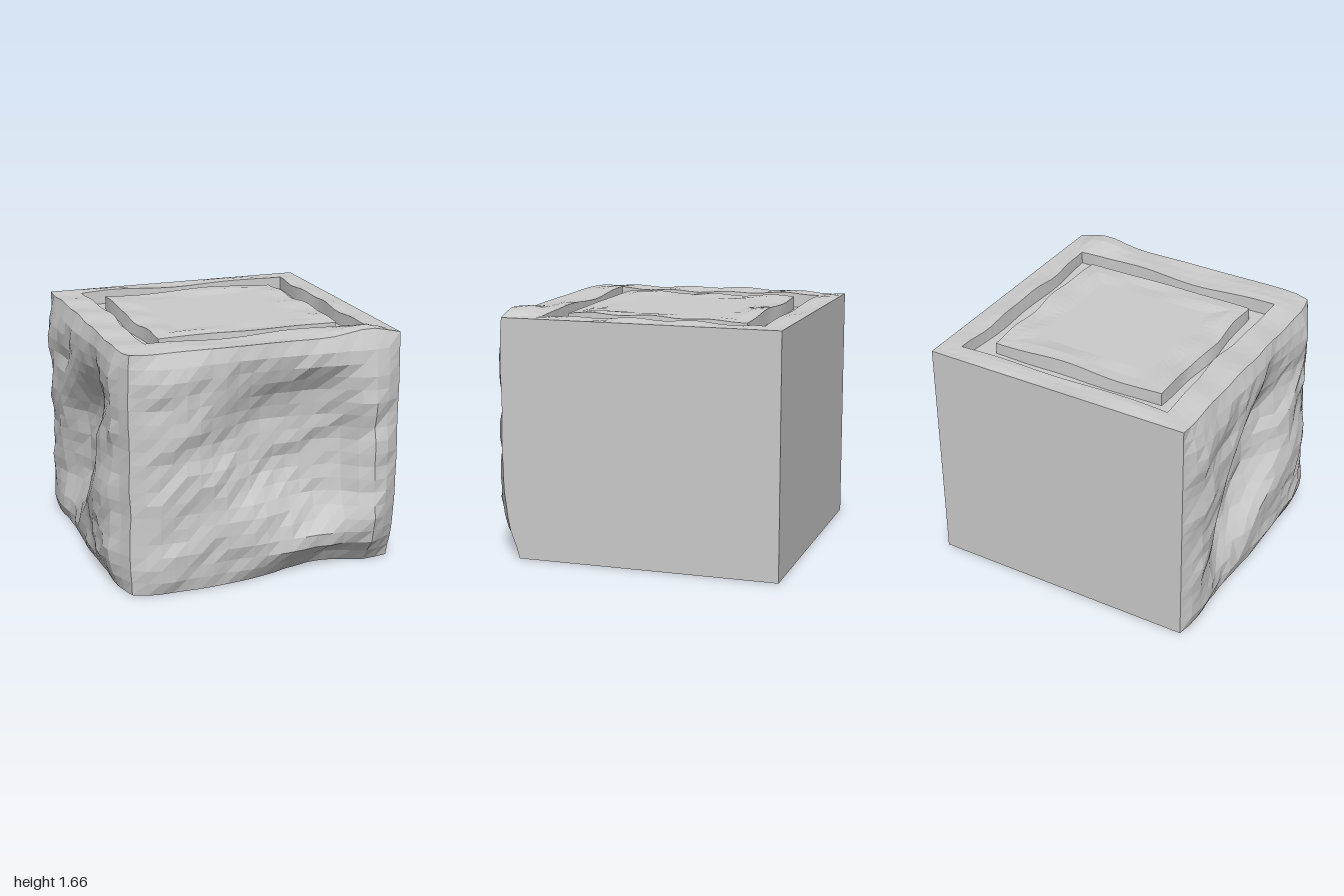
import * as THREE from 'three';

const SEG = 20;                                   // steps along each side of a loop
const L = -0.88, R = 0.99, B = -0.99, F = 0.88;   // base block before roughening
const H = 1.615, FLOOR = 1.53;                    // top and groove floor heights

// Smooth ramp from 0 at a to 1 at b, rising or falling
const step = (a, b, v) => {
  const t = Math.min(1, Math.max(0, (v - a) / (b - a)));
  return t * t * (3 - 2 * t);
};
const bell = (a, b) => Math.exp(-a * a - b * b);
const bowl = (a, b) => Math.exp(-((a * a + b * b) ** 2)); // hollow with steep walls

// Rolling waves and repeatable jitter, both about -1..1
const roll = (a, b) => 0.5 * Math.sin(7 * a + 4 * b) + 0.5 * Math.sin(15 * b - 6 * a + 1);
const hash = (a, b) => {
  const s = Math.sin(Math.round(a * 50) * 12.99 + Math.round(b * 50) * 78.23) * 43758.55;
  return (s - Math.floor(s)) * 2 - 1;
};
const rough = (a, b) => 0.018 * roll(a, b) + 0.011 * hash(a, b);

// Chipping eases off towards the bottom and top edges
const edgeFade = (y) => Math.sqrt(step(-0.05, 0.16, y) * step(H + 0.01, H - 0.2, y));

// How far the front face swells (+) or is hollowed (-)
function frontOffset(x, y) {
  const side = step(-0.98, -0.6, x) * (0.25 + 0.75 * step(1.0, 0.86, x));
  const swell = side * (0.055 + 0.035 * bell((x - 0.78) / 0.14, 0) + rough(x, y));
  const across = (x - 0.4) / (x < 0.4 ? 0.7 : 0.33);
  const hollow = 0.17 * bowl(across, (y - 0.88 + 0.2 * (x - 0.4)) / 0.52);
  const undercut = 0.17 * bell((x - 0.5) / 0.45, 0) * step(0.24, 0.02, y)
    + 0.05 * step(0.8, R, x) * step(0.7, 0, y);
  const corner = 0.04 * step(-0.75, L, x);
  return edgeFade(y) * (swell - hollow) - undercut - corner;
}

// The same for the rough -x face
function sideOffset(z, y) {
  const ends = step(-1.0, -0.82, z) * (0.25 + 0.75 * step(0.9, 0.65, z));
  const swell = ends * (0.06 + 0.045 * bell((z - 0.4) / 0.3, (y - 0.45) / 0.4) + rough(z + 3, y));
  const hollow = 0.17 * bowl((z + 0.1 - 0.5 * (y - 0.8)) / 0.36, (y - 0.78) / 0.58);
  const corner = 0.03 * step(0.72, F, z);
  return edgeFade(y) * (swell - hollow) - corner;
}

// Unevenness of the top, fading to the flat back and right faces
function topOffset(x, z) {
  const fade = step(R, 0.85, x) * step(B, -0.9, z);
  return fade * (0.005 + 0.013 * roll(x + 1, z + 2) + 0.045 * bell((x - 0.75) / 0.18, (z - 0.82) / 0.15));
}

// Rectangular loop, counterclockwise from above, starting at the front left corner
function loop(l, r, b, f, y, move) {
  const corners = [[l, f], [r, f], [r, b], [l, b]];
  const pts = [];
  for (let s = 0; s < 4; s++) {
    const [x0, z0] = corners[s], [x1, z1] = corners[(s + 1) % 4];
    for (let i = 0; i < SEG; i++) {
      const t = i / SEG;
      pts.push(move(x0 + (x1 - x0) * t, y, z0 + (z1 - z0) * t, s, t));
    }
  }
  return pts;
}

const wall = (x, y, z) => [
  x - sideOffset(z, y) * step(-0.4, L, x),
  y >= H ? y + topOffset(x, z) : y,
  z + frontOffset(x, y) * step(0.4, F, z),
];
const top = (x, y, z) => [x, y + topOffset(x, z), z];

// Groove edges wander sideways between their corners
const groove = (bow, phase, uneven) => (x, y, z, s, t) => {
  const k = Math.sin(Math.PI * t);
  const d = k * (bow + 0.012 * Math.sin(11 * t + s * 2 + phase));
  const bend = [0.5, 1, 0.5, 1][s] * d;
  const dir = [[0, 1], [1, 0], [0, -1], [-1, 0]][s];
  return [x + dir[0] * bend, y + (uneven ? topOffset(x, z) : 0), z + dir[1] * bend];
};

function skin(loops) {
  const n = SEG * 4, idx = [];
  for (let i = 0; i < loops.length - 1; i++) {
    for (let j = 0; j < n; j++) {
      const k = (j + 1) % n;
      const a = i * n + j, b = i * n + k, c = a + n, d = b + n;
      idx.push(a, b, d, a, d, c);
    }
  }
  const g = new THREE.BufferGeometry();
  g.setAttribute('position', new THREE.Float32BufferAttribute(loops.flat(2), 3));
  g.setIndex(idx);
  const flat = g.toNonIndexed();
  flat.computeVertexNormals();
  return flat;
}

export function createModel() {
  const group = new THREE.Group();
  group.name = 'stoneBlock';
  const material = new THREE.MeshStandardMaterial({ color: 0xcccccc, flatShading: true });
  const add = (name, loops) => {
    const mesh = new THREE.Mesh(skin(loops), material);
    mesh.name = name;
    group.add(mesh);
  };
  const mix = THREE.MathUtils.lerp;

  // Underside and four walls: two chipped, two cut flat
  const body = [0, 0.5, 1].map((k) => loop(
    mix(0.05, L, k), mix(0.05, R, k), mix(-0.05, B, k), mix(-0.05, F, k), 0, wall));
  const ROWS = 18;
  for (let i = 1; i < ROWS; i++) body.push(loop(L, R, B, F, (H * i) / ROWS, wall));
  const brink = loop(L, R, B, F, H, wall);
  body.push(brink);
  add('body', body);

  // Rim from the outer edge to the groove
  const ol = -0.69, or = 0.85, ob = -0.85, of = 0.65;
  const rim = [brink];
  for (const t of [0.35, 0.7]) {
    rim.push(loop(mix(L, ol, t), mix(R, or, t), mix(B, ob, t), mix(F, of, t), H, top));
  }
  const outerTop = loop(ol, or, ob, of, H, groove(-0.02, 0, true));
  rim.push(outerTop);
  add('rim', rim);

  // Square channel cut into the top
  const il = -0.56, ir = 0.69, ib = -0.69, iff = 0.53;
  const innerTop = loop(il, ir, ib, iff, H, groove(0.005, 2, true));
  add('groove', [
    outerTop,
    loop(ol, or, ob, of, FLOOR, groove(-0.03, 0.3, false)),
    loop(il, ir, ib, iff, FLOOR, groove(0.02, 2.4, false)),
    innerTop,
  ]);

  // Raised panel inside the channel, worn smooth towards its middle
  const panel = [innerTop];
  for (const t of [0.15, 0.32, 0.55, 1]) {
    panel.push(loop(mix(il, 0.065, t), mix(ir, 0.065, t), mix(ib, -0.08, t), mix(iff, -0.08, t), H,
      t < 0.3 ? top : (x, y, z) => [x, y, z]));
  }
  add('topPanel', panel);

  return group;
}
